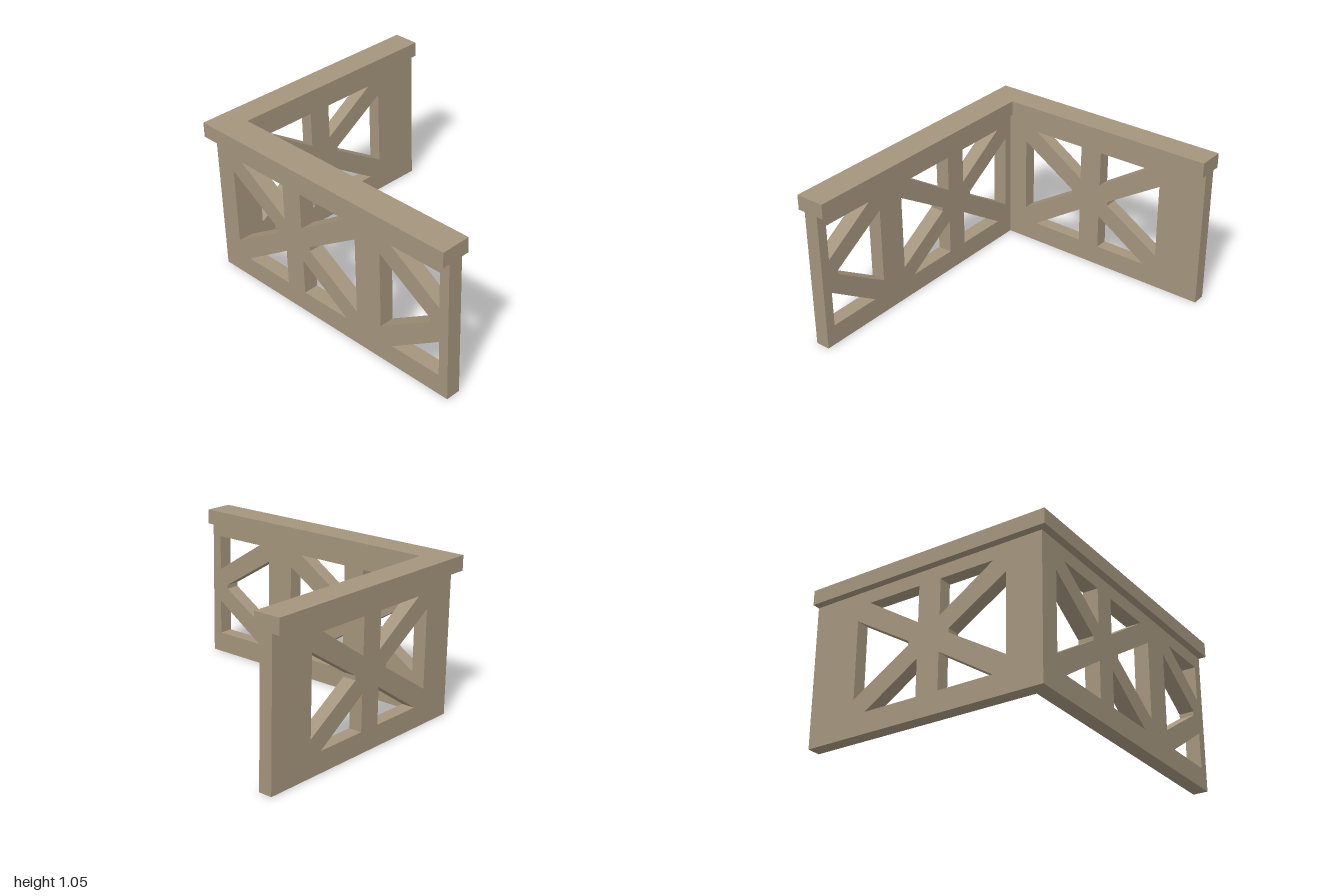
import * as THREE from 'three';

const MID = 0.5;      // height of the bracing centre
const WALL_TOP = 0.95;

const toPoints = (pts) => pts.map(([x, y]) => new THREE.Vector2(x, y));

// Openings on one side (dir = -1 or 1) of a bracing centre c
function bracingHoles(c, dir) {
  const at = (pts) => new THREE.Path(toPoints(pts.map(([u, v]) => [c + dir * u, MID + v])));
  const holes = [at([[0.54, -0.26], [0.54, 0.26], [0.145, 0.014], [0.145, -0.014]])];
  for (const s of [-1, 1]) {
    holes.push(at([[0.078, s * 0.36], [0.45, s * 0.36], [0.078, s * 0.118]]));
  }
  return holes;
}

// Flat wall from a to b with cut-out cross bracing
function wallGeometry(a, b, depth, bracings) {
  const shape = new THREE.Shape(toPoints([[a, 0], [b, 0], [b, WALL_TOP], [a, WALL_TOP]]));
  for (const [c, dir] of bracings) shape.holes.push(...bracingHoles(c, dir));
  return new THREE.ExtrudeGeometry(shape, { depth, bevelEnabled: false });
}

export function createModel() {
  const group = new THREE.Group();
  const material = new THREE.MeshStandardMaterial({ color: 0xa3947c });
  material.name = 'tan wood';
  const add = (name, geometry) => {
    const mesh = new THREE.Mesh(geometry, material);
    mesh.name = name;
    group.add(mesh);
    return mesh;
  };

  // Front wall: one full cross and a half cross at the open end
  add('frontWall', wallGeometry(-0.95, 1, 0.1, [[-0.265, -1], [-0.27, 1], [1.01, -1]]))
    .position.z = 0.7;

  // Side wall: a single full cross, running along z
  const side = add('sideWall', wallGeometry(-0.85, 0.7, 0.09, [[0.02, -1], [0.02, 1]]));
  side.rotation.y = -Math.PI / 2;
  side.position.x = -0.86;

  // L-shaped handrail capping both walls
  const outline = new THREE.Shape(toPoints([
    [-1, -0.85], [-0.82, -0.85], [-0.82, 0.65], [1, 0.65], [1, 0.85], [-1, 0.85],
  ]));
  const rail = add('handrail', new THREE.ExtrudeGeometry(outline, { depth: 0.1, bevelEnabled: false }));
  rail.rotation.x = Math.PI / 2;
  rail.position.y = 1.05;

  return group;
}
